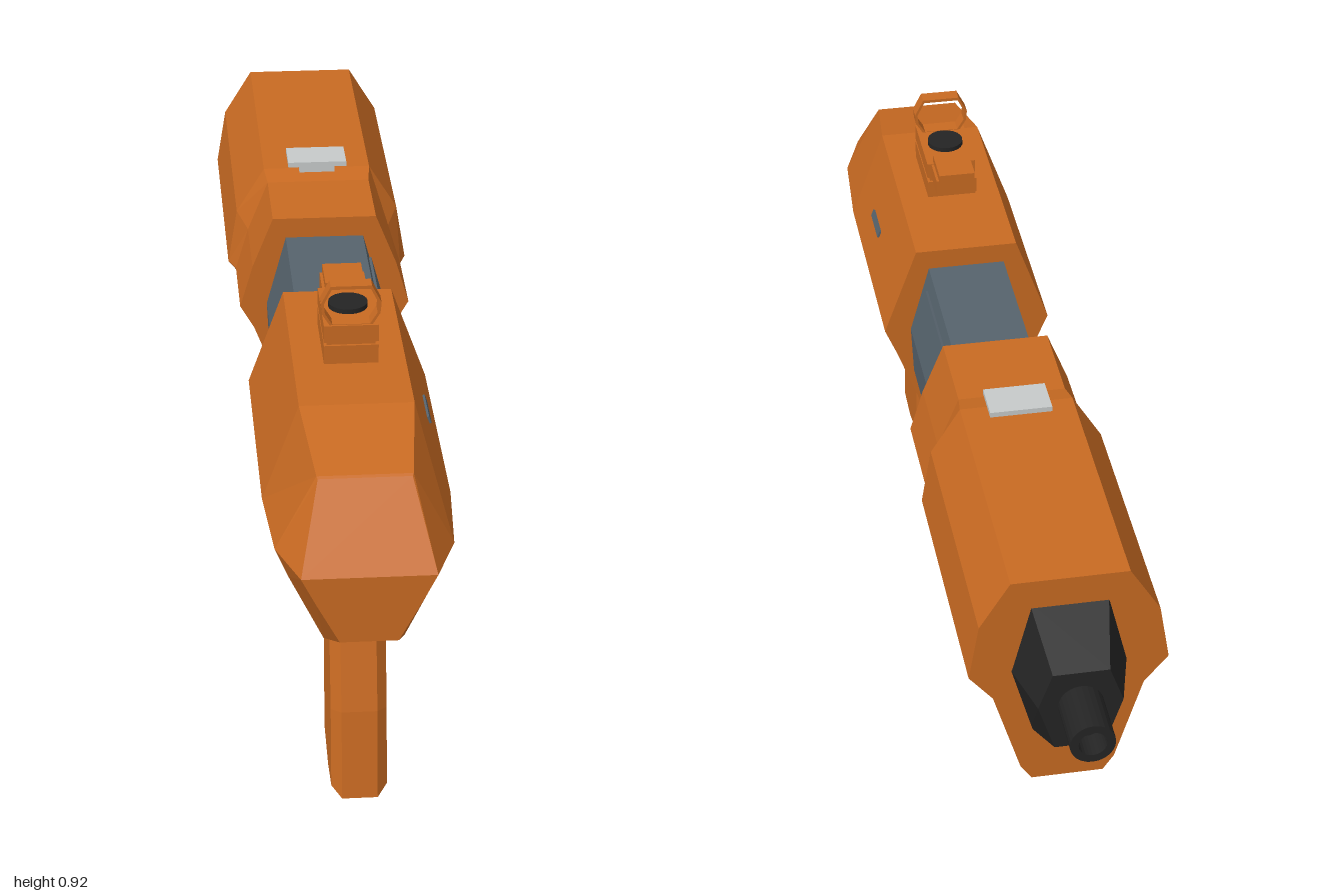
import * as THREE from 'three';

const paint = (name, color) => Object.assign(new THREE.MeshStandardMaterial({ color }), { name });

export function createModel() {
  const orange = paint('orange', 0xc86a22);
  const grey = paint('slate grey', 0x56636d);
  const black = paint('black', 0x242424);
  const light = paint('light grey', 0xc6caca);
  const model = new THREE.Group();

  function add(name, geometry, material, x = 0, y = 0, z = 0) {
    const mesh = new THREE.Mesh(geometry, material);
    mesh.name = name;
    mesh.position.set(x, y, z);
    model.add(mesh);
    return mesh;
  }

  const box = (name, material, [w, h, d], [x, y, z]) =>
    add(name, new THREE.BoxGeometry(w, h, d), material, x, y, z);

  // Faceted body: half outlines [x, y, z], top to bottom, mirrored and joined from -z to +z.
  // pick(row, column) chooses the material; the last column is the underside.
  function loft(name, rows, materials, pick = () => 0) {
    const faces = materials.map(() => []);
    const flip = ([x, y, z]) => [-x, y, z];
    const quad = (list, a, b, c, d) => list.push(...a, ...b, ...c, ...a, ...c, ...d);
    const n = rows[0].length;
    for (let i = 0; i < rows.length - 1; i++) {
      const [p, q] = [rows[i], rows[i + 1]];
      quad(faces[0], flip(p[0]), flip(q[0]), q[0], p[0]);
      for (let j = 0; j < n - 1; j++) {
        const list = faces[pick(i, j)];
        quad(list, p[j], q[j], q[j + 1], p[j + 1]);
        quad(list, flip(p[j + 1]), flip(q[j + 1]), flip(q[j]), flip(p[j]));
      }
      quad(faces[pick(i, n - 1)], p[n - 1], q[n - 1], flip(q[n - 1]), flip(p[n - 1]));
    }
    const [first, last] = [rows[0], rows[rows.length - 1]];
    for (let j = 0; j < n - 1; j++) {
      quad(faces[0], first[j], first[j + 1], flip(first[j + 1]), flip(first[j]));
      quad(faces[0], last[j], flip(last[j]), flip(last[j + 1]), last[j + 1]);
    }
    const geometry = new THREE.BufferGeometry();
    let start = 0;
    faces.forEach((list, k) => {
      geometry.addGroup(start / 3, list.length / 3, k);
      start += list.length;
    });
    geometry.setAttribute('position', new THREE.Float32BufferAttribute(faces.flat(), 3));
    geometry.computeVertexNormals();
    return add(name, geometry, materials);
  }
  const at = (z, outline) => outline.map(([x, y]) => [x, y, z]);

  const toShape = (points) => new THREE.Shape(points.map(([u, v]) => new THREE.Vector2(u, v)));

  // Side outline in [z, y], given width across x with chamfered edges.
  function sideCut(name, outline, width, bevel, material, hole) {
    const shape = toShape(outline);
    if (hole) shape.holes.push(toShape(hole));
    const geometry = new THREE.ExtrudeGeometry(shape, {
      depth: width - 2 * bevel, bevelEnabled: bevel > 0, bevelSegments: 1,
      bevelThickness: bevel, bevelSize: bevel, bevelOffset: -bevel,
    });
    geometry.translate(0, 0, bevel - width / 2).rotateY(-Math.PI / 2);
    return add(name, geometry, material);
  }

  // Rear body with black lower side panels
  const rear = [[0.1, 0.75], [0.165, 0.57], [0.142, 0.515], [0.09, 0.388]];
  loft('rearBody', [
    at(0.27, [...rear.slice(0, 3), [0.09, 0.375]]),
    at(0.535, rear),
    at(0.72, rear),
    at(0.895, [[0.082, 0.708], [0.153, 0.57], [0.13, 0.515], [0.07, 0.39]]),
    [[0.08, 0.705, 0.9], [0.115, 0.57, 1], [0.09, 0.52, 1], [0.05, 0.445, 1]],
  ], [orange, black], (i, j) => (i === 0 && j >= 2 ? 1 : 0));
  box('bodySlot', grey, [0.008, 0.014, 0.085], [0.138, 0.645, 0.55]).rotation.z = 0.347;

  // Centre receiver with its side panel
  const receiver = [[0.075, 0.71], [0.113, 0.57], [0.108, 0.47], [0.08, 0.4]];
  loft('receiver', [at(-0.06, receiver), at(0.28, receiver)], [grey]);
  box('receiverPanel', grey, [0.008, 0.085, 0.25], [0.095, 0.64, 0.11]).rotation.z = 0.265;

  // Front shroud with black side strips and underside
  const small = [[0.1, 0.75], [0.14, 0.65], [0.165, 0.565], [0.138, 0.518], [0.09, 0.393], [0.07, 0.39]];
  const large = [[0.105, 0.76], [0.16, 0.67], [0.178, 0.56], [0.135, 0.507], [0.085, 0.34], [0.065, 0.31]];
  loft('frontShroud', [at(-0.79, large), at(-0.275, large), at(-0.23, small), at(-0.055, small)],
    [orange, black], (i, j) => ((i !== 1 && j === 2) || (i === 0 && j >= 4) ? 1 : 0));
  box('topPlate', light, [0.115, 0.01, 0.075], [0, 0.777, -0.288]);
  box('topPlateStem', light, [0.07, 0.02, 0.03], [0, 0.765, -0.275]);

  // Nose and barrel
  loft('nose', [
    at(-0.895, [[0.05, 0.635], [0.075, 0.565], [0.045, 0.472]]),
    at(-0.78, [[0.07, 0.708], [0.105, 0.565], [0.065, 0.42]]),
  ], [black]);
  const tube = new THREE.Shape().absarc(0, 0, 0.04, 0, Math.PI * 2);
  tube.holes.push(new THREE.Path().absarc(0, 0, 0.025, 0, Math.PI * 2));
  add('barrel', new THREE.ExtrudeGeometry(tube, { depth: 0.12, bevelEnabled: false, curveSegments: 12 }),
    black, 0, 0.565, -1);
  add('barrelCore', new THREE.CircleGeometry(0.03, 12).rotateY(Math.PI), black, 0, 0.565, -0.95);

  // Grip and trigger guard
  sideCut('grip', [
    [0.83, 0.41], [0.785, 0.35], [0.78, 0.31], [0.81, 0.18], [0.83, 0.01], [0.73, 0],
    [0.63, 0.025], [0.62, 0.05], [0.605, 0.23], [0.6, 0.3], [0.585, 0.35], [0.585, 0.41],
  ], 0.1, 0.018, orange);
  sideCut('triggerGuard',
    [[0.62, 0.4], [0.62, 0.272], [0.47, 0.3], [0.455, 0.32], [0.44, 0.4]], 0.06, 0, orange,
    [[0.595, 0.385], [0.595, 0.302], [0.49, 0.322], [0.475, 0.385]]);

  // Magazine with flared foot and side windows
  sideCut('magazine', [[0.205, 0.42], [0.21, 0.21], [0.005, 0.245], [0.005, 0.42]], 0.104, 0.008, grey);
  sideCut('magazineFoot', [[0.207, 0.255], [0.213, 0.2], [0, 0.235], [0.002, 0.28]], 0.122, 0.008, grey);
  for (const side of [-1, 1]) {
    box('magazineWindow', light, [0.009, 0.065, 0.042], [side * 0.055, 0.352, 0.107]);
  }

  // Sight: base, deck, front block, lens disc and hoop
  box('sightBase', orange, [0.096, 0.035, 0.16], [0, 0.785, 0.52]);
  box('sightWaist', orange, [0.086, 0.012, 0.15], [0, 0.805, 0.52]);
  box('sightDeck', orange, [0.096, 0.032, 0.155], [0, 0.825, 0.5225]);
  box('sightNeck', orange, [0.08, 0.03, 0.07], [0, 0.825, 0.415]);
  box('sightBlock', orange, [0.07, 0.02, 0.08], [0, 0.845, 0.415]);
  add('sightDisc', new THREE.CylinderGeometry(0.035, 0.035, 0.012, 20), black, 0, 0.844, 0.52);
  const mirrored = (half) => [...half, ...half.map(([x, y]) => [-x, y]).reverse()];
  const hoop = toShape(mirrored([[0.036, 0.838], [0.051, 0.862], [0.053, 0.882], [0.036, 0.915]]));
  hoop.holes.push(toShape(mirrored([[0.033, 0.842], [0.046, 0.863], [0.048, 0.881], [0.034, 0.909]])));
  add('sightHoop', new THREE.ExtrudeGeometry(hoop, { depth: 0.028, bevelEnabled: false }),
    orange, 0, 0, 0.568);

  return model;
}
